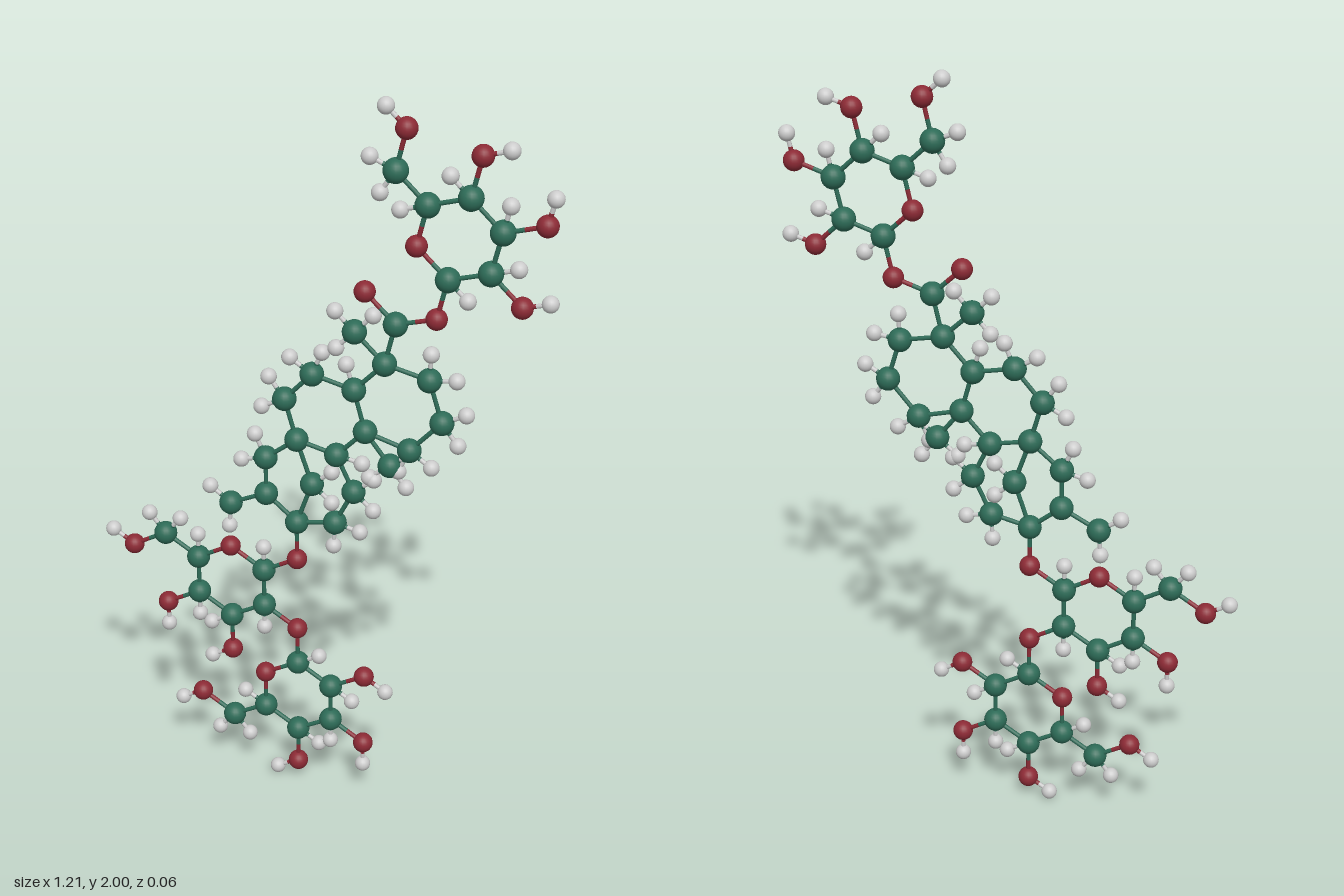
import * as THREE from 'three';

const BOND = 0.109, H_BOND = 0.07;
const elements = {
  C: { name: 'carbonAtom', color: 0x2d6b57, radius: 0.031 },
  O: { name: 'oxygenAtom', color: 0x8c2a35, radius: 0.027 },
  H: { name: 'hydrogenAtom', color: 0xcccccc, radius: 0.021 },
};
for (const e of Object.values(elements)) {
  e.material = new THREE.MeshStandardMaterial({ color: e.color });
  e.geometry = new THREE.SphereGeometry(e.radius, 20, 14);
}
const stick = new THREE.CylinderGeometry(0.006, 0.006, 1, 8, 1, true);
const rad = THREE.MathUtils.degToRad;

// Flat ring-and-ball model: every atom lies on z = 0
function atom(group, type, x, y) {
  const mesh = new THREE.Mesh(elements[type].geometry, elements[type].material);
  mesh.name = elements[type].name;
  mesh.position.set(x, y, 0);
  group.add(mesh);
  return { group, type, x, y, neighbours: [] };
}

// A bond is two half sticks, each in the colour of its own atom
function bond(a, b) {
  const dx = b.x - a.x, dy = b.y - a.y;
  [[a, 0.25], [b, 0.75]].forEach(([end, t]) => {
    const mesh = new THREE.Mesh(stick, elements[end.type].material);
    mesh.name = 'bond';
    mesh.scale.y = Math.hypot(dx, dy) / 2;
    mesh.position.set(a.x + dx * t, a.y + dy * t, 0);
    mesh.rotation.z = Math.atan2(dy, dx) - Math.PI / 2;
    a.group.add(mesh);
  });
  a.neighbours.push(b);
  b.neighbours.push(a);
}

// New atom bonded to a parent in a direction given in degrees
function grow(parent, type, angle) {
  const length = type === 'H' ? H_BOND : BOND;
  const child = atom(parent.group, type,
    parent.x + length * Math.cos(rad(angle)), parent.y + length * Math.sin(rad(angle)));
  bond(parent, child);
  return child;
}

// Hydrogens fanned about the middle of the widest gap between the bonds
function fillGap(a, offsets) {
  const angles = a.neighbours
    .map(n => THREE.MathUtils.radToDeg(Math.atan2(n.y - a.y, n.x - a.x)))
    .sort((p, q) => p - q);
  let middle = 0, widest = 0;
  angles.forEach((p, i) => {
    const next = i + 1 < angles.length ? angles[i + 1] : angles[0] + 360;
    if (next - p > widest) { widest = next - p; middle = (p + next) / 2; }
  });
  offsets.forEach(o => grow(a, 'H', middle + o));
}

// Sugar: one oxygen and five carbons in a hexagon, with side groups.
// h and oh give the side each hydrogen leans to; oh 0 = bare oxygen, null = none
function sugar(parent, name, { cx, cy, start, dir, turn, h, oh }) {
  const group = new THREE.Group();
  group.name = name;
  parent.add(group);
  const angle = i => start + dir * 60 * i;
  const ring = [0, 1, 2, 3, 4, 5].map(i => atom(group, i ? 'C' : 'O',
    cx + BOND * Math.cos(rad(angle(i))), cy + BOND * Math.sin(rad(angle(i)))));
  ring.forEach((a, i) => bond(a, ring[(i + 1) % 6]));
  h.forEach((side, i) => grow(ring[i + 1], 'H', angle(i + 1) + 60 * side));
  const oxygens = oh.map((side, i) => {
    if (side === null) return null;
    const o = grow(ring[i + 1], 'O', angle(i + 1));
    if (side) grow(o, 'H', angle(i + 1) + 60 * side);
    return o;
  });
  // Arm on the last carbon
  const arm = grow(ring[5], 'C', angle(5));
  const tip = grow(arm, 'O', angle(5) + turn);
  grow(tip, 'H', angle(5));
  [-40, 40].forEach(o => grow(arm, 'H', angle(5) - turn + o));
  return { ring, oxygens };
}

export function createModel() {
  const model = new THREE.Group();
  model.name = 'molecule';

  const top = sugar(model, 'topSugar', {
    cx: 0.355, cy: 1.678, start: 197, dir: 1, turn: -60, h: [1, 1, 1, 1, 1], oh: [0, 1, 1, -1] });
  const middle = sugar(model, 'middleSugar', {
    cx: -0.244, cy: 0.605, start: 90, dir: -1, turn: 60, h: [1, -1, -1, 1, -1], oh: [0, 0, -1, 1] });
  const bottom = sugar(model, 'bottomSugar', {
    cx: -0.054, cy: 0.277, start: 150, dir: -1, turn: -60, h: [-1, -1, -1, 1, -1], oh: [null, -1, -1, -1] });

  // Fused ring core
  const core = new THREE.Group();
  core.name = 'ringCore';
  model.add(core);
  const c = [null, // carbons numbered from 1
    [0.246, 1.097], [0.328, 1.189], [0.293, 1.3], [0.177, 1.324], [0.098, 1.239],
    [-0.013, 1.263], [-0.087, 1.181], [-0.055, 1.07], [0.053, 1.047], [0.129, 1.128],
    [0.1, 0.949], [0.05, 0.848], [-0.055, 0.827], [-0.013, 0.949], [-0.14, 1.002],
    [-0.14, 0.896], [-0.24, 0.848], [0.098, 1.398], [0.203, 1.435], [0.196, 1.044],
  ].map(p => p && atom(core, 'C', p[0], p[1]));
  const chains = [
    [1, 2, 3, 4, 5, 6, 7, 8, 9, 10, 1], [5, 10, 20], [9, 11, 12, 13, 14, 8],
    [8, 15, 16, 13], [16, 17], [18, 4, 19],
  ];
  for (const chain of chains)
    for (let i = 1; i < chain.length; i++) bond(c[chain[i - 1]], c[chain[i]]);

  // Links between the core and the sugars
  grow(c[19], 'O', 137);
  bond(c[19], top.oxygens[0]);
  bond(c[13], middle.oxygens[0]);
  bond(middle.oxygens[1], bottom.ring[1]);

  // Core hydrogens
  [1, 2, 3, 6, 7, 11, 12, 14, 15].forEach(i => fillGap(c[i], [-40, 40]));
  [18, 20].forEach(i => fillGap(c[i], [-90, 0, 90]));
  fillGap(c[17], [-60, 60]);
  grow(c[5], 'H', 107);
  grow(c[9], 'H', -10);

  return model;
}
